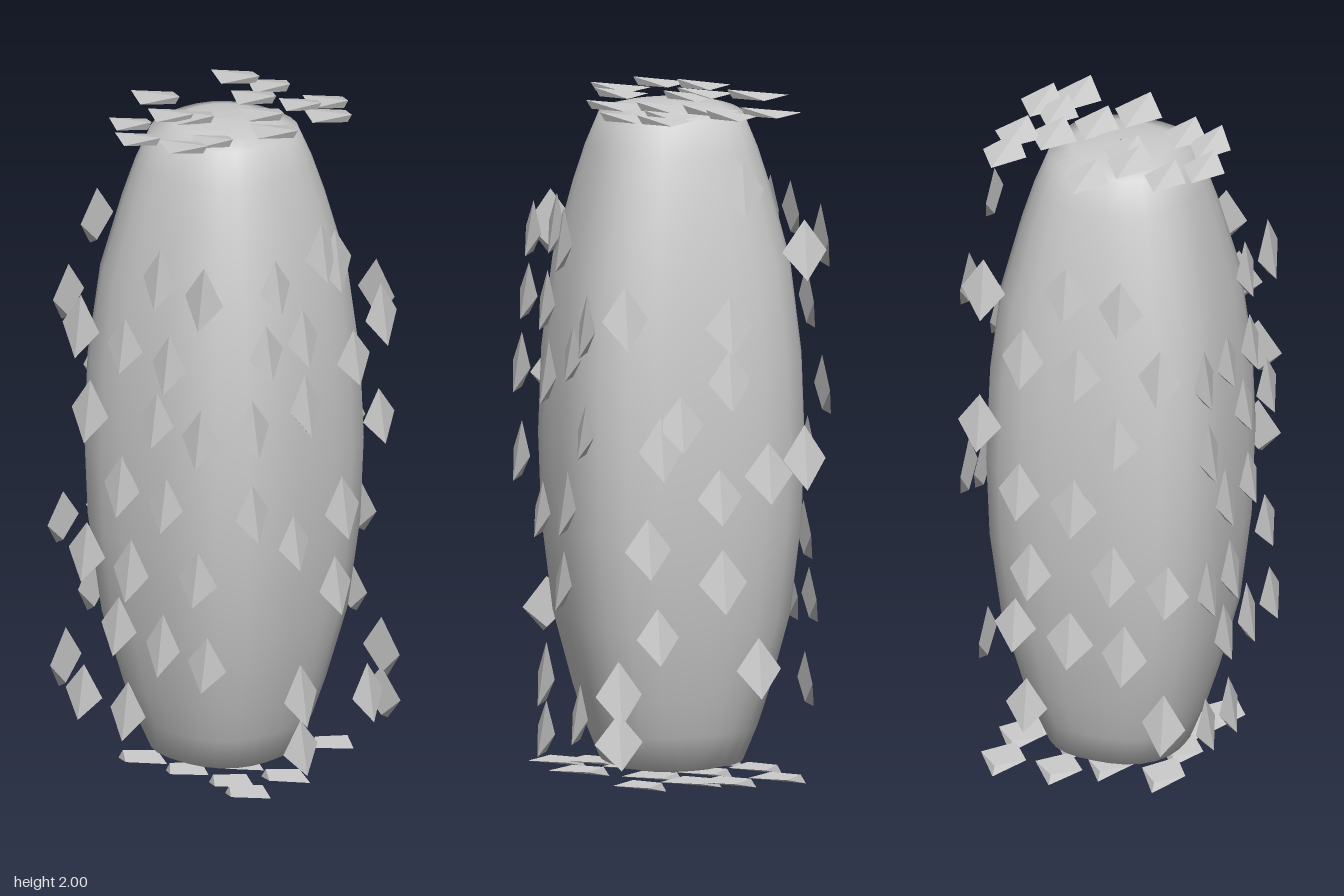
import * as THREE from 'three';

const grey = new THREE.MeshStandardMaterial({ color: 0xcccccc });
const greyFlat = new THREE.MeshStandardMaterial({ color: 0xcccccc, flatShading: true });

// Smooth barrel body: squarish rings [height from middle, half width], mirrored top to bottom
function makeBody() {
  const half = [
    [0.25, 0.352], [0.52, 0.323], [0.74, 0.27], [0.85, 0.238],
    [0.95, 0.2], [0.967, 0.14], [0.974, 0.07], [0.977, 0.001],
  ];
  const rings = [...half.map(([y, r]) => [-y, r]).reverse(), [0, 0.36], ...half];
  const n = 28, pos = [], idx = [];
  for (const [y, r] of rings) {
    const p = 3.1 - 0.7 * y * y;
    for (let i = 0; i < n; i++) {
      const a = (i / n) * Math.PI * 2, c = Math.cos(a), s = Math.sin(a);
      const k = r / Math.pow(Math.abs(c) ** p + Math.abs(s) ** p, 1 / p);
      pos.push(c * k, y, s * k);
    }
  }
  for (let j = 0; j < rings.length - 1; j++) {
    for (let i = 0; i < n; i++) {
      const a = j * n + i, b = j * n + (i + 1) % n;
      idx.push(a, a + n, b, b, a + n, b + n);
    }
  }
  const g = new THREE.BufferGeometry();
  g.setAttribute('position', new THREE.Float32BufferAttribute(pos, 3));
  g.setIndex(idx);
  g.computeVertexNormals();
  const mesh = new THREE.Mesh(g, grey);
  mesh.name = 'body';
  mesh.position.y = 1;
  return mesh;
}

// Ridged kite, lying on its base plane with the lower tip lifted outward
function makeScaleGeometry() {
  const top = [0, 0.53, 0], left = [-0.5, 0, 0], right = [0.5, 0, 0];
  const low = [0, -0.38, 0], tip = [0, -0.47, 1];
  const faces = [top, left, tip, top, tip, right, left, low, tip, right, tip, low, top, low, left, top, right, low];
  const g = new THREE.BufferGeometry();
  g.setAttribute('position', new THREE.Float32BufferAttribute(faces.flat(), 3));
  g.computeVertexNormals();
  return g;
}

// Even but irregular spread of positions over a side
function scatter(count, halfWidth, halfHeight, start) {
  return Array.from({ length: count }, (_, i) => [
    (((start + i * 0.7549) % 1) * 2 - 1) * halfWidth,
    (((start + i * 0.5698) % 1) * 2 - 1) * halfHeight,
  ]);
}

// Scales on one side of the body's bounding box, at [across, up] positions on that side
function makePatch(name, geometry, at, turn, spots) {
  const patch = new THREE.Group();
  patch.name = name;
  patch.position.set(...at);
  patch.rotation.set(turn[0], turn[1], 0);
  spots.forEach(([u, v], i) => {
    const scale = new THREE.Mesh(geometry, greyFlat);
    scale.name = 'scale';
    scale.position.set(u, v, 0);
    // Slight size variation from scale to scale
    scale.scale.set(0.13 + 0.006 * (i % 4), 0.165 + 0.012 * (i % 3), 0.027);
    patch.add(scale);
  });
  return patch;
}

export function createModel() {
  const model = new THREE.Group();
  model.name = 'scaledBody';
  model.add(makeBody());

  const kite = makeScaleGeometry();
  const quarter = Math.PI / 2, side = 0.358;
  const front = [
    [-0.18, 0.59], [0.02, 0.64], [0.08, 0.6], [-0.22, 0.4], [-0.06, 0.4], [0.28, 0.38], [0.16, 0.28],
    [-0.28, 0.18], [-0.05, 0.19], [0.27, 0.07], [-0.28, -0.08], [0.11, -0.17], [-0.1, -0.22],
    [0.08, -0.4], [-0.07, -0.7], [-0.07, -0.86], [0.22, -0.77],
  ];
  const left = [
    [0.09, 0.77], [0.28, 0.58], [-0.27, 0.41], [0.05, 0.37], [0.05, 0.21], [-0.16, 0.02], [-0.1, 0.09],
    [0.17, -0.07], [0.28, -0.03], [0.02, -0.13], [-0.2, -0.27], [0.03, -0.38], [-0.17, -0.53],
    [0.14, -0.64], [-0.29, -0.69], [-0.29, -0.83],
  ];
  const top = [
    [-0.21, 0.17], [-0.08, 0.13], [0, 0.26], [-0.05, 0.07], [-0.29, 0.07], [0.28, 0.2], [0.29, 0.08],
    [0.19, 0.05], [-0.25, -0.07], [-0.16, -0.1], [0.1, -0.06], [0.02, -0.18],
    [0.235, -0.09], [0.3, -0.13], [0.22, -0.21],
  ];
  model.add(
    makePatch('frontScales', kite, [0, 1, side], [0, 0], front),
    makePatch('leftScales', kite, [side, 1, 0], [0, quarter], left),
    makePatch('backScales', kite, [0, 1, -side], [0, Math.PI], scatter(18, 0.3, 0.78, 0.2)),
    makePatch('rightScales', kite, [-side, 1, 0], [0, -quarter], scatter(18, 0.3, 0.78, 0.6)),
    makePatch('topScales', kite, [0, 1.973, 0], [-quarter, 0], top),
    makePatch('bottomScales', kite, [0, 0.027, 0], [quarter, 0], scatter(15, 0.3, 0.29, 0.4)),
  );
  return model;
}
